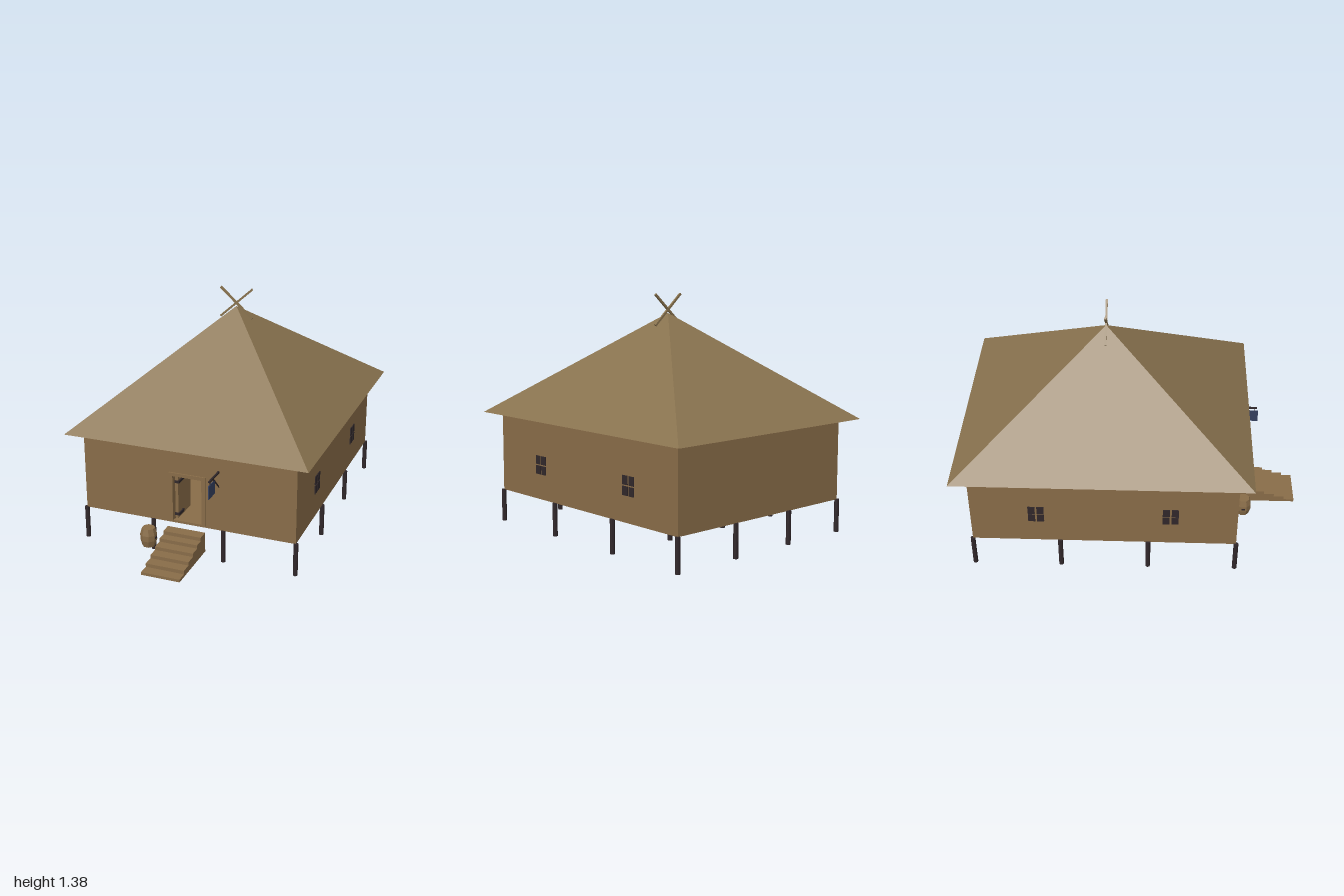
import * as THREE from 'three';

export function createModel() {
  const model = new THREE.Group();
  model.name = 'stiltHouse';

  const material = (name, color) => {
    const m = new THREE.MeshStandardMaterial({ color, flatShading: true });
    m.name = name;
    return m;
  };
  const thatch = material('thatch', 0x88724e);
  const wood = material('wood', 0x886c48);
  const dark = material('darkTimber', 0x30272a);
  const navy = material('navyPaint', 0x35405f);

  const add = (name, geometry, mat, x = 0, y = 0, z = 0, parent = model) => {
    const mesh = new THREE.Mesh(geometry, mat);
    mesh.name = name;
    mesh.position.set(x, y, z);
    parent.add(mesh);
    return mesh;
  };
  // Box given by its limits on each axis
  const box = (name, mat, [x0, x1], [y0, y1], [z0, z1], parent = model) =>
    add(name, new THREE.BoxGeometry(x1 - x0, y1 - y0, z1 - z0), mat,
      (x0 + x1) / 2, (y0 + y1) / 2, (z0 + z1) / 2, parent);
  const rectangle = (path, x0, x1, y0, y1) =>
    path.moveTo(x0, y0).lineTo(x1, y0).lineTo(x1, y1).lineTo(x0, y1).closePath();

  const W = 0.637, FRONT = 0.615, BACK = -0.91, FLOOR = 0.192, EAVE = 0.665;

  // Four by four grid of stilts
  const stiltShape = new THREE.CylinderGeometry(0.014, 0.014, 0.194, 8);
  for (let i = 0; i < 4; i++) {
    for (let j = 0; j < 4; j++) {
      add('stilt', stiltShape, dark, -0.638 + i * 0.4253, 0.097, FRONT - j * 0.5083);
    }
  }

  // Floor and walls, with a doorway cut through the front
  box('floor', wood, [-W, W], [FLOOR, 0.204], [BACK, FRONT]);
  box('backWall', wood, [-W, W], [FLOOR, EAVE], [BACK, BACK + 0.02]);
  for (const s of [-1, 1]) {
    box('sideWall', wood, s < 0 ? [-W, -W + 0.02] : [W - 0.02, W], [FLOOR, EAVE], [BACK, FRONT]);
  }
  const front = new THREE.Shape();
  rectangle(front, -W, W, FLOOR, EAVE);
  const doorway = new THREE.Path();
  rectangle(doorway, -0.088, 0.086, 0.206, 0.482);
  front.holes.push(doorway);
  add('frontWall', new THREE.ExtrudeGeometry(front, { depth: 0.02, bevelEnabled: false }),
    wood, 0, 0, FRONT - 0.02);

  // Raised door frame
  for (const [x0, x1] of [[-0.11, -0.088], [0.086, 0.108]]) {
    box('doorJamb', wood, [x0, x1], [0.204, 0.502], [FRONT - 0.03, FRONT + 0.008]);
  }
  box('doorLintel', wood, [-0.088, 0.086], [0.482, 0.502], [FRONT - 0.03, FRONT + 0.008]);

  // Door swung inward, with dark hinges
  box('openDoor', wood, [-0.086, -0.068], [0.21, 0.478], [FRONT - 0.2, FRONT - 0.025]);
  for (const y of [0.235, 0.435]) {
    box('doorHinge', dark, [-0.088, -0.06], [y - 0.008, y + 0.008], [FRONT - 0.09, FRONT - 0.022]);
  }

  // Counter, shelf and jug indoors
  box('counter', wood, [-0.35, 0.35], [0.204, 0.347], [-0.1, 0.02]);
  box('counterTop', dark, [-0.36, 0.36], [0.347, 0.354], [-0.12, 0.04]);
  box('counterSkirting', dark, [-0.355, 0.355], [0.204, 0.211], [-0.1, 0.025]);
  box('shelf', wood, [-0.4, 0.4], [0.405, 0.413], [BACK + 0.02, BACK + 0.12]);
  const jugProfile = [[0, 0], [0.01, 0], [0.01, 0.012], [0.005, 0.022], [0.006, 0.032], [0, 0.032]];
  add('jug', new THREE.LatheGeometry(jugProfile.map(p => new THREE.Vector2(...p)), 8),
    wood, 0.02, 0.413, BACK + 0.07);

  // Four-pane windows on both sides
  for (const s of [-1, 1]) {
    for (const z of [0.234, -0.533]) {
      for (const [dy, dz] of [[-1, -1], [-1, 1], [1, -1], [1, 1]]) {
        add('windowPane', new THREE.BoxGeometry(0.008, 0.05, 0.04), dark,
          s * (W + 0.001), 0.394 + dy * 0.029, z + dz * 0.0255);
      }
    }
  }

  // Pyramid roof with overhanging eaves
  const roof = new THREE.ConeGeometry(Math.SQRT1_2, 0.6, 4, 1);
  roof.rotateY(Math.PI / 4);
  roof.scale(1.44, 1, 1.693);
  add('roof', roof, thatch, 0, EAVE + 0.3, -0.153);

  // Crossed finial boards at the peak
  for (const s of [-1, 1]) {
    const board = add('finialBoard', new THREE.BoxGeometry(0.266, 0.012, 0.012), thatch, 0, 1.285, -0.153);
    board.rotation.z = s * Math.atan2(0.18, 0.2);
  }

  // Solid flight of steps, extruded from its side outline
  const treads = [[1, 0.07], [0.938, 0.091], [0.876, 0.111], [0.814, 0.131], [0.752, 0.151], [0.7, 0.172]];
  const side = new THREE.Shape().moveTo(-0.635, 0.054).lineTo(-1, 0.054);
  treads.forEach(([z, y], i) => {
    side.lineTo(-z, y);
    side.lineTo(i < 5 ? -treads[i + 1][0] : -0.635, y);
  });
  const steps = new THREE.ExtrudeGeometry(side, { depth: 0.227, bevelEnabled: false });
  steps.rotateY(Math.PI / 2);
  add('steps', steps, wood, -0.115, 0, 0);

  // Eight-sided barrel with dark handles
  const barrel = new THREE.Group();
  barrel.name = 'barrel';
  barrel.position.set(-0.216, 0.055, 0.68);
  model.add(barrel);
  const staves = new THREE.LatheGeometry(
    [[0, 0], [0.037, 0], [0.048, 0.04], [0.048, 0.073], [0.037, 0.112], [0, 0.112]]
      .map(p => new THREE.Vector2(...p)), 8);
  staves.rotateY(Math.PI / 8);
  add('barrelBody', staves, wood, 0, 0, 0, barrel);
  for (const s of [-1, 1]) {
    add('barrelHandle', new THREE.BoxGeometry(0.008, 0.012, 0.02), dark, s * 0.044, 0.056, 0, barrel);
  }

  // Hanging sign on a braced bracket
  const X = 0.187;
  box('signBeam', dark, [X - 0.005, X + 0.005], [0.544, 0.554], [FRONT - 0.01, 0.756]);
  const brace = add('signBrace', new THREE.BoxGeometry(0.006, 0.006, 0.125), dark, X, 0.502, 0.657);
  brace.rotation.x = -Math.PI / 4;
  box('signBoard', navy, [X - 0.003, X + 0.003], [0.45, 0.528], [0.677, 0.766]);
  for (const z of [0.695, 0.745]) {
    box('signHanger', dark, [X - 0.002, X + 0.002], [0.526, 0.546], [z - 0.002, z + 0.002]);
  }

  return model;
}
